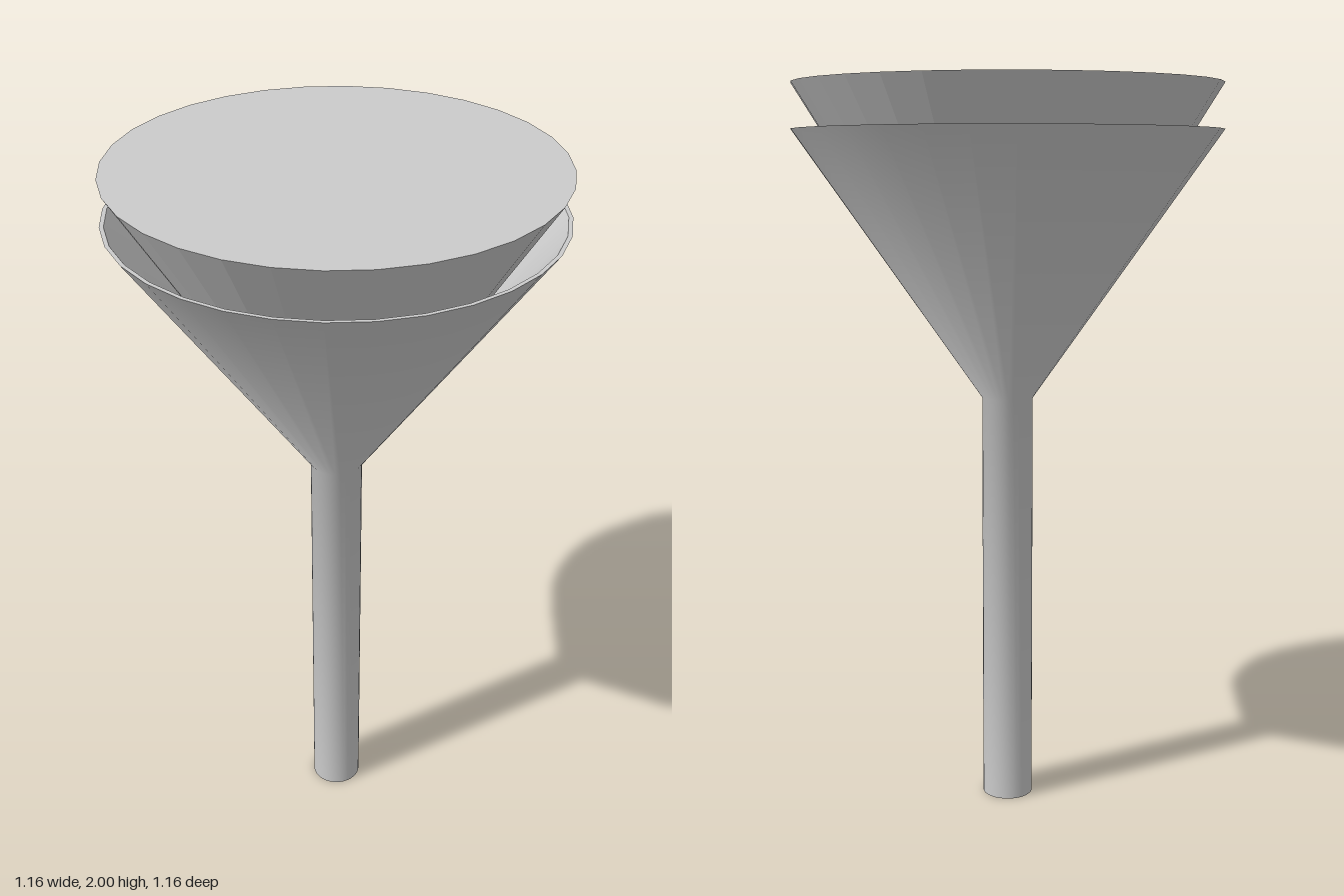
import * as THREE from 'three';
import { toCreasedNormals } from 'three/addons/utils/BufferGeometryUtils.js';

const SEGMENTS = 32;

export function createModel() {
  const group = new THREE.Group();
  group.name = 'funnelWithFilter';

  // Thin-walled funnel: closed profile, up the outside and down the inside
  const profile = [
    [0.07, 0], [0.07, 1.155], [0.578, 1.88],
    [0.567, 1.88], [0.062, 1.16], [0.062, 0], [0.07, 0],
  ].map(([r, y]) => new THREE.Vector2(r, y));
  const funnel = new THREE.Mesh(
    toCreasedNormals(new THREE.LatheGeometry(profile, SEGMENTS), 0.8),
    new THREE.MeshStandardMaterial({ color: 0xcccccc, side: THREE.DoubleSide })
  );
  funnel.name = 'funnel';
  group.add(funnel);

  // Faceted filter cone, point down, with a flat closed top at y = 2
  const height = 0.93;
  const filterGeometry = new THREE.ConeGeometry(0.575, height, SEGMENTS);
  filterGeometry.rotateX(Math.PI);
  filterGeometry.translate(0, 2 - height / 2, 0);
  const filter = new THREE.Mesh(
    filterGeometry,
    new THREE.MeshStandardMaterial({ color: 0xcccccc, flatShading: true })
  );
  filter.name = 'filterCone';
  group.add(filter);

  return group;
}
